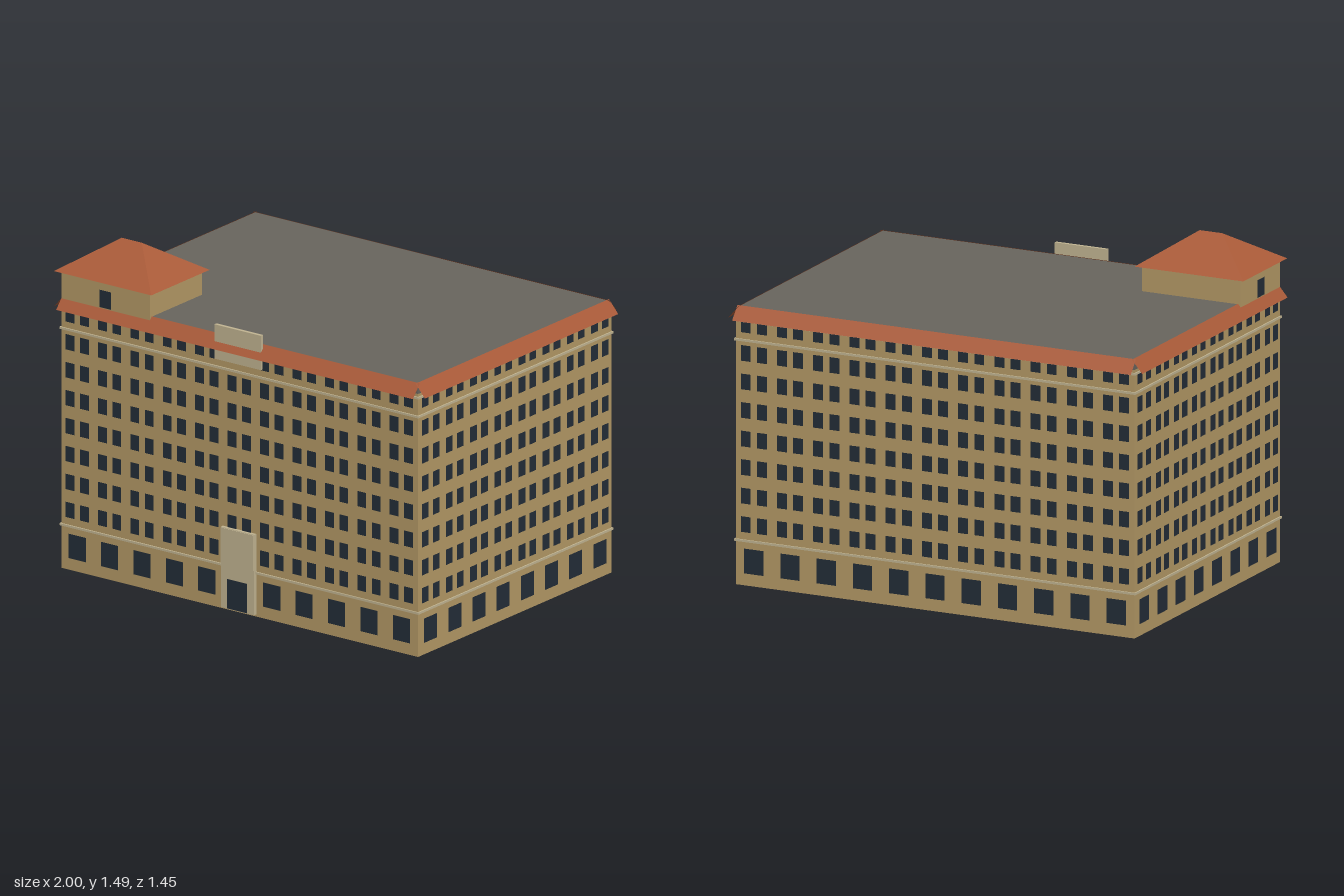
import * as THREE from 'three';
import { mergeGeometries } from 'three/addons/utils/BufferGeometryUtils.js';

const mat = (name, color, side = THREE.FrontSide) => {
  const m = new THREE.MeshStandardMaterial({ color, side });
  m.name = name;
  return m;
};

export function createModel() {
  const wall = mat('tan wall', 0xb59a66, THREE.DoubleSide);
  const tile = mat('red roof tile', 0xa95a38, THREE.DoubleSide);
  const deckGrey = mat('roof deck grey', 0x68655e);
  const trim = mat('pale trim', 0xc2b592);
  const glass = mat('dark glass', 0x232d38);

  const model = new THREE.Group();
  model.name = 'cornerTowerBuilding';
  const add = (name, geometry, material, parent = model) => {
    const mesh = new THREE.Mesh(geometry, material);
    mesh.name = name;
    parent.add(mesh);
    return mesh;
  };
  // box given by its minimum and maximum corners
  const box = (x0, x1, y0, y1, z0, z1) =>
    new THREE.BoxGeometry(x1 - x0, y1 - y0, z1 - z0)
      .translate((x0 + x1) / 2, (y0 + y1) / 2, (z0 + z1) / 2);
  // upright pane facing +z
  const pane = (x, y0, y1, w, z) =>
    new THREE.PlaneGeometry(w, y1 - y0).translate(x, (y0 + y1) / 2, z);

  const HX = 0.963, HZ = 0.69, WALL_TOP = 1.2;
  const EAVE = 1.187, RIDGE = 1.245, INSET = 0.013, OVERHANG = 0.037;

  // each side is built facing +z, then turned into place
  const sides = [
    { name: 'front', turn: 0, len: 2 * HX, dist: HZ, bays: 11 },
    { name: 'right', turn: -Math.PI / 2, len: 2 * HZ, dist: HX, bays: 8 },
    { name: 'back', turn: Math.PI, len: 2 * HX, dist: HZ, bays: 11 },
    { name: 'left', turn: Math.PI / 2, len: 2 * HZ, dist: HX, bays: 8 },
  ];
  for (const { name, turn, len, dist, bays } of sides) {
    const side = new THREE.Group();
    side.name = name + 'Side';
    side.rotation.y = turn;
    model.add(side);

    add('wall', pane(0, 0, WALL_TOP, len, dist), wall, side);

    // large shop windows below, paired windows on the floors above
    const panes = [];
    const z = dist + 0.003;
    const pitch = len / bays;
    for (let i = 0; i < bays; i++) {
      const u = (i + 0.5) * pitch - len / 2;
      panes.push(pane(u, 0.054, 0.165, 0.093, z));
      for (const s of [-1, 1]) {
        for (let row = 0; row < 8; row++) {
          const y = 0.273 + row * 0.1275;
          panes.push(pane(u + s * 0.039, y - 0.035, Math.min(y + 0.035, 1.176), 0.048, z));
        }
      }
    }
    add('windows', mergeGeometries(panes), glass, side);

    // string courses
    const h = len / 2 + 0.006;
    const bands = [0.2, 1.096, 1.182].map((y) =>
      box(-h, h, y - 0.005, y + 0.005, dist, dist + 0.006));
    add('stringCourses', mergeGeometries(bands), trim, side);

    // sloping tiled eave, a single sheet
    const run = INSET + OVERHANG, drop = RIDGE - EAVE;
    const eave = new THREE.PlaneGeometry(len, Math.hypot(run, drop))
      .rotateX(-Math.atan2(run, drop))
      .translate(0, (RIDGE + EAVE) / 2, dist + (OVERHANG - INSET) / 2);
    add('tiledEave', eave, tile, side);
  }

  // flat roof between the eaves
  add('roofDeck', box(-HX + INSET, HX - INSET, 1.19, 1.243, -HZ + INSET, HZ - INSET), deckGrey);

  // entrance
  add('portal', box(-0.09, 0.09, 0.01, 0.377, 0.672, 0.706), trim);
  add('portalPanel', box(-0.088, 0.088, 0.213, 0.375, 0.7, 0.71), trim);
  add('door', pane(0, 0.012, 0.147, 0.106, 0.709), glass);

  // blank board above the entrance
  add('parapetBoard', box(-0.127, 0.125, 1.135, 1.292, 0.688, 0.703), trim);

  // corner tower
  const tower = new THREE.Group();
  tower.name = 'cornerTower';
  tower.position.set(-0.724, 0, 0.5035);
  model.add(tower);
  const tx = 0.239, tz = 0.1865;
  add('towerWalls', box(-tx, tx, 1.2, 1.355, -tz, tz), wall, tower);
  add('towerFrontWindow', pane(0, 1.235, 1.314, 0.064, tz + 0.003), glass, tower);
  add('towerSideWindow', pane(0, 1.235, 1.314, 0.064, tx + 0.003), glass, tower)
    .rotation.y = -Math.PI / 2;

  // hipped roof: a box whose top is pinched to a short ridge
  const hip = new THREE.BoxGeometry(0.526, 0.138, 0.418).translate(0, 1.424, 0).toNonIndexed();
  const p = hip.attributes.position;
  for (let i = 0; i < p.count; i++) {
    if (p.getY(i) > 1.424) {
      p.setX(i, Math.sign(p.getX(i)) * 0.054);
      p.setZ(i, 0);
    }
  }
  hip.computeVertexNormals();
  add('towerRoof', hip, tile, tower);

  return model;
}
